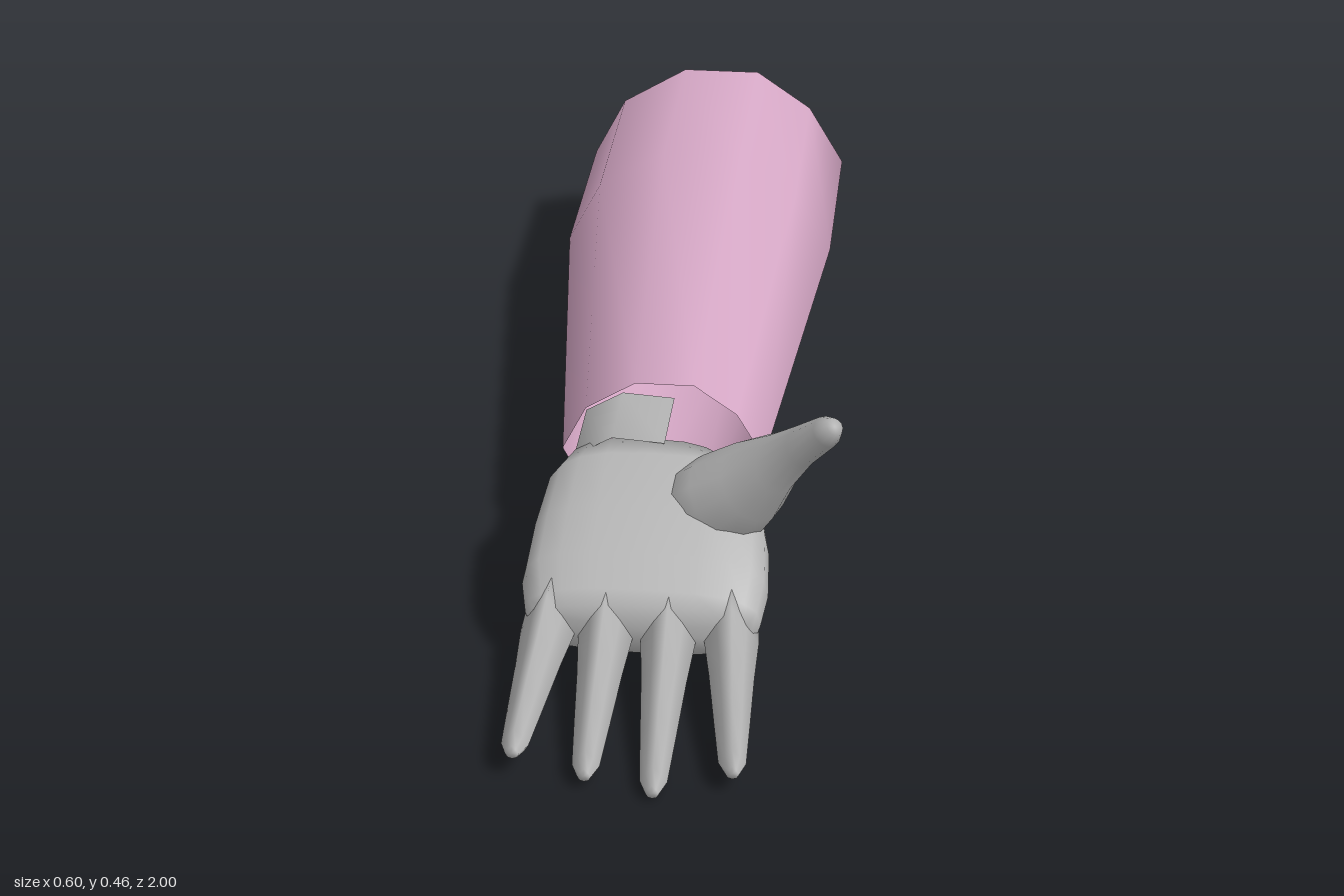
import * as THREE from 'three';

const grey = new THREE.MeshStandardMaterial({ color: 0xb4b4b4, side: THREE.DoubleSide });
grey.name = 'skin grey';
const pink = new THREE.MeshStandardMaterial({ color: 0xd6a8c6, side: THREE.DoubleSide });
pink.name = 'sleeve pink';

// Skin a list of rings (arrays of Vector3, anticlockwise seen from the far end)
function loft(rings, { closed = true, caps = false } = {}) {
  const n = rings[0].length, pos = [], idx = [];
  rings.forEach(r => r.forEach(p => pos.push(p.x, p.y, p.z)));
  for (let i = 0; i < rings.length - 1; i++) {
    for (let j = 0; j < (closed ? n : n - 1); j++) {
      const k = (j + 1) % n, a = i * n + j, b = i * n + k;
      idx.push(a, b, a + n, b, b + n, a + n);
    }
  }
  if (caps) {
    for (const end of [0, rings.length - 1]) {
      const c = new THREE.Vector3();
      rings[end].forEach(p => c.addScaledVector(p, 1 / n));
      const ci = pos.length / 3;
      pos.push(c.x, c.y, c.z);
      for (let j = 0; j < n; j++) {
        const a = end * n + j, b = end * n + (j + 1) % n;
        if (end) idx.push(ci, a, b); else idx.push(ci, b, a);
      }
    }
  }
  const g = new THREE.BufferGeometry();
  g.setAttribute('position', new THREE.Float32BufferAttribute(pos, 3));
  g.setIndex(idx);
  g.computeVertexNormals();
  return g;
}

// Place a unit cross-section at c, facing along dir, scaled by hw and hh
function section(shape, c, dir, up, hw, hh) {
  const w = dir.clone().normalize();
  const u = new THREE.Vector3().crossVectors(up, w).normalize();
  const v = new THREE.Vector3().crossVectors(w, u);
  return shape.map(([x, y]) => c.clone().addScaledVector(u, x * hw).addScaledVector(v, y * hh));
}

// Rounded-box outline: power 1 is an ellipse, lower is squarer
function outline(n, power) {
  return Array.from({ length: n }, (_, i) => {
    const t = i / n * Math.PI * 2, f = s => Math.sign(s) * Math.abs(s) ** power;
    return [f(Math.cos(t)), f(Math.sin(t))];
  });
}

const X = (x, y, z) => new THREE.Vector3(x, y, z);
const UP = X(0, 1, 0), FRONT = X(0, 0, 1);

export function createModel() {
  const model = new THREE.Group();
  model.name = 'sleevedArm';
  const add = (name, geometry, material) => {
    const m = new THREE.Mesh(geometry, material);
    m.name = name;
    model.add(m);
  };

  // Sleeve: open ten-sided tube, tapering toward the cuff
  const ten = [[1, 0], [0.73, 0.61], [0.31, 1], [-0.27, 1], [-0.76, 0.61],
    [-1, 0], [-0.76, -0.61], [-0.27, -1], [0.31, -1], [0.73, -0.61]];
  add('sleeve', loft([
    [-1, -0.043, 0.259, 0.194], [-0.58, -0.043, 0.259, 0.194], [0.25, -0.025, 0.176, 0.135],
  ].map(([z, x, hw, hh]) => section(ten, X(x, 0.2, z), FRONT, UP, hw, hh))), pink);

  // Wrist: strip left open on its upper thumb side
  const wrist = [[-0.01, 0.282], [-0.1, 0.288], [-0.165, 0.25], [-0.18, 0.18],
    [-0.12, 0.115], [0.03, 0.112], [0.11, 0.18]];
  add('wrist', loft([0.2, 0.36].map(z => wrist.map(([x, y]) => X(x, y, z))), { closed: false }), grey);

  // Palm, facing upward and sloping down toward the fingers
  const palmShape = outline(20, 0.72);
  add('palm', loft([
    [0.335, -0.04, 0.193, 0.145, 0.083],
    [0.40, -0.025, 0.185, 0.183, 0.1],
    [0.50, -0.02, 0.158, 0.2, 0.086],
    [0.58, -0.02, 0.127, 0.205, 0.074],
    [0.63, -0.018, 0.104, 0.195, 0.056],
    [0.655, -0.017, 0.098, 0.18, 0.045],
  ].map(([z, x, y, hw, hh]) => section(palmShape, X(x, y, z), FRONT, UP, hw, hh)), { caps: true }), grey);

  // Fingers: ridged on top, tapering to blunt tips
  const ridge = [[1, -0.2], [0.55, 0.4], [0, 1], [-0.55, 0.4],
    [-1, -0.2], [-0.65, -0.8], [0, -1], [0.65, -0.8]];
  [
    ['littleFinger', -0.17, -0.187, 0.055, 0.955],
    ['ringFinger', -0.078, -0.071, 0.034, 0.975],
    ['middleFinger', 0.025, 0.038, 0.024, 0.995],
    ['indexFinger', 0.126, 0.16, 0.048, 0.965],
  ].forEach(([name, x0, x1, y1, z1]) => {
    const rings = [[0, 0.046, 0.062], [0.15, 0.045, 0.058], [0.38, 0.037, 0.044],
      [0.68, 0.029, 0.033], [0.93, 0.022, 0.023], [1, 0.011, 0.012]].map(([t, hw, hh]) => {
      const c = X(x0, 0.102, 0.6).lerp(X(x1, y1, z1), t);
      return section(ridge, c, FRONT, UP, hw, hh);
    });
    add(name, loft(rings, { caps: true }), grey);
  });

  // Thumb: broad root in the palm, rising outward
  const path = [
    [0.04, 0.185, 0.43, 0.08, 0.075], [0.10, 0.225, 0.445, 0.085, 0.085],
    [0.15, 0.28, 0.465, 0.066, 0.08], [0.193, 0.335, 0.495, 0.042, 0.06],
    [0.235, 0.39, 0.53, 0.031, 0.038], [0.275, 0.44, 0.57, 0.026, 0.026],
    [0.288, 0.456, 0.582, 0.015, 0.015],
  ];
  const pts = path.map(p => X(p[0], p[1], p[2])), round = outline(12, 0.95);
  add('thumb', loft(path.map((p, i) => {
    const dir = pts[Math.min(i + 1, pts.length - 1)].clone().sub(pts[Math.max(i - 1, 0)]);
    return section(round, pts[i], dir, FRONT, p[3], p[4]);
  }), { caps: true }), grey);

  return model;
}
